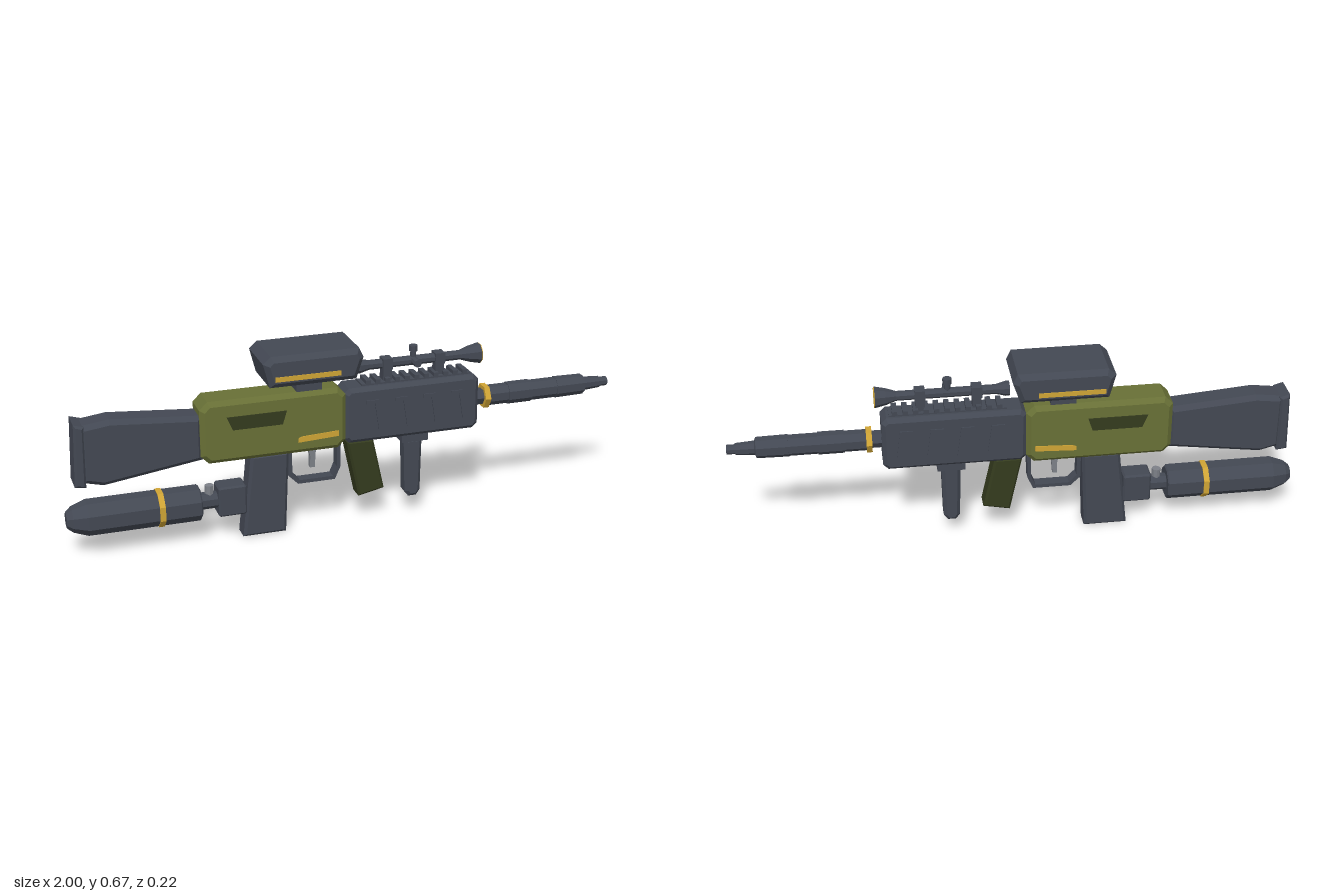
import * as THREE from 'three';

const mat = (name, color) => {
  const m = new THREE.MeshStandardMaterial({ color });
  m.name = name;
  return m;
};

export function createModel() {
  const root = new THREE.Group();
  root.name = 'paintballRifle';
  const gunmetal = mat('gunmetal', 0x434853);
  const olive = mat('olive', 0x687036);
  const darkOlive = mat('darkOlive', 0x343b1e);
  const gold = mat('gold', 0xcfa435);
  const steel = mat('steel', 0x7c8087);

  const add = (name, geo, material, x = 0, y = 0, z = 0) => {
    const flat = geo.index ? geo.toNonIndexed() : geo;
    flat.computeVertexNormals();
    const mesh = new THREE.Mesh(flat, material);
    mesh.name = name;
    mesh.position.set(x, y, z);
    root.add(mesh);
    return mesh;
  };
  const shapeOf = pts => new THREE.Shape(pts.map(p => new THREE.Vector2(...p)));

  // Side profile extruded across z, with chamfered side edges
  const slab = (name, pts, half, bevel, material, z = 0) => {
    const geo = new THREE.ExtrudeGeometry(shapeOf(pts), {
      depth: 2 * (half - bevel), bevelEnabled: bevel > 0, bevelSegments: 1,
      bevelSize: bevel, bevelThickness: bevel, bevelOffset: -bevel,
    });
    geo.translate(0, 0, bevel - half);
    return add(name, geo, material, 0, 0, z);
  };
  const block = (name, x0, x1, y0, y1, half, material, z = 0) =>
    add(name, new THREE.BoxGeometry(x1 - x0, y1 - y0, 2 * half), material, (x0 + x1) / 2, (y0 + y1) / 2, z);

  // Faceted turned part along x, from [x, radius] pairs
  const turned = (name, pts, sides, y, material, flats = false) => {
    const geo = new THREE.LatheGeometry(pts.map(([x, r]) => new THREE.Vector2(r, x)), sides, flats ? Math.PI / sides : 0);
    geo.rotateZ(-Math.PI / 2);
    return add(name, geo, material, 0, y, 0);
  };
  // Rectangular profile with cut corners
  const cutRect = (x0, x1, y0, y1, c) => [
    [x0 + c, y0], [x1 - c, y0], [x1, y0 + c], [x1, y1 - c],
    [x1 - c, y1], [x0 + c, y1], [x0, y1 - c], [x0, y0 + c]];

  // Stock
  slab('stock', [[-0.94, 0.285], [-0.87, 0.267], [-0.53, 0.315], [-0.53, 0.475], [-0.84, 0.5], [-0.94, 0.487]], 0.05, 0.016, gunmetal);
  slab('buttPlate', [[-0.968, 0.275], [-0.93, 0.27], [-0.925, 0.487], [-0.96, 0.497]], 0.052, 0.008, gunmetal);

  // Receiver and handguard
  slab('receiver', cutRect(-0.54, -0.025, 0.302, 0.525, 0.028), 0.063, 0.016, olive);
  slab('handguard', cutRect(-0.028, 0.472, 0.31, 0.512, 0.018), 0.055, 0.014, gunmetal);

  // Side details, mirrored
  for (const s of [1, -1]) {
    slab('receiverSlot', [[-0.43, 0.42], [-0.255, 0.42], [-0.24, 0.468], [-0.45, 0.468]], 0.004, 0, darkOlive, s * 0.062);
    slab('receiverStripe', [[-0.2, 0.345], [-0.055, 0.352], [-0.055, 0.372], [-0.185, 0.366], [-0.2, 0.36]], 0.004, 0, gold, s * 0.062);
    block('hopperStripe', -0.29, -0.06, 0.59, 0.607, 0.004, gold, s * 0.106);
    for (let i = 0; i < 4; i++) {
      const x = 0.05 + i * 0.105;
      slab('handguardRib', [[x + 0.045, 0.355], [x + 0.06, 0.355], [x + 0.045, 0.465], [x, 0.465], [x, 0.452], [x + 0.03, 0.452]], 0.004, 0, gunmetal, s * 0.055);
    }
  }

  // Top rail with teeth
  block('railBase', 0.04, 0.445, 0.508, 0.517, 0.032, gunmetal);
  for (let i = 0; i < 11; i++) {
    const x = 0.055 + i * 0.036;
    block('railTooth', x, x + 0.018, 0.515, 0.53, 0.032, gunmetal);
  }

  // Hopper: profile running along x, chamfered on its long sides
  block('hopperMount', -0.2, -0.11, 0.515, 0.575, 0.048, gunmetal);
  slab('hopper', [[-0.305, 0.565], [0, 0.565], [0.026, 0.64], [0.01, 0.675], [-0.3, 0.675], [-0.327, 0.65]], 0.107, 0.018, gunmetal);

  // Scope
  turned('scopeTube', [[0.027, 0], [0.027, 0.026], [0.04, 0.026], [0.075, 0.017], [0.415, 0.017], [0.45, 0.029], [0.488, 0.037], [0.488, 0]], 8, 0.575, gunmetal, true);
  turned('scopeLens', [[0.488, 0], [0.488, 0.036], [0.491, 0.036], [0.491, 0]], 8, 0.575, gold, true);
  for (const x of [0.14, 0.335]) {
    block('scopeMount', x - 0.016, x + 0.016, 0.515, 0.565, 0.016, gunmetal);
    block('scopeClamp', x - 0.018, x + 0.018, 0.556, 0.596, 0.021, gunmetal);
  }
  add('topKnob', new THREE.CylinderGeometry(0.011, 0.011, 0.05, 8), gunmetal, 0.24, 0.6, 0);
  add('topKnobCap', new THREE.CylinderGeometry(0.016, 0.016, 0.02, 8), gunmetal, 0.24, 0.62, 0);
  add('sideKnob', new THREE.CylinderGeometry(0.014, 0.014, 0.04, 8).rotateX(Math.PI / 2), gunmetal, 0.24, 0.577, 0.03);

  // Barrel
  turned('barrelCollar', [[0.46, 0.03], [0.51, 0.03]], 6, 0.41, gunmetal);
  turned('barrelBand', [[0.505, 0], [0.505, 0.045], [0.525, 0.045], [0.525, 0]], 6, 0.41, gold);
  turned('barrel', [[0.52, 0.037], [0.6, 0.037], [0.6, 0.04], [0.69, 0.04], [0.69, 0.037], [0.79, 0.037],
    [0.79, 0.039], [0.9, 0.037], [0.905, 0.025], [0.97, 0.021], [0.97, 0.017], [1, 0.017], [1, 0]], 8, 0.41, gunmetal, true);

  // Grip, trigger and guard
  slab('grip', [[-0.395, 0.002], [-0.24, 0.002], [-0.226, 0.305], [-0.362, 0.305]], 0.04, 0.01, gunmetal);
  const guard = shapeOf([[-0.225, 0.305], [-0.225, 0.205], [-0.19, 0.17], [-0.055, 0.17], [-0.035, 0.215], [-0.033, 0.305]]);
  guard.holes.push(new THREE.Path([[-0.211, 0.298], [-0.211, 0.211], [-0.184, 0.183], [-0.063, 0.183], [-0.048, 0.218], [-0.046, 0.298]]
    .map(p => new THREE.Vector2(...p))));
  add('triggerGuard', new THREE.ExtrudeGeometry(guard, { depth: 0.04, bevelEnabled: false }), gunmetal, 0, 0, -0.02);
  slab('trigger', [[-0.143, 0.222], [-0.126, 0.222], [-0.12, 0.305], [-0.152, 0.305], [-0.142, 0.265]], 0.01, 0, steel);

  // Magazine
  slab('magazine', [[-0.015, 0.31], [0.03, 0.096], [0.125, 0.116], [0.083, 0.31]], 0.036, 0.008, darkOlive);

  // Foregrip
  block('foregripBase', 0.187, 0.285, 0.284, 0.315, 0.042, gunmetal);
  slab('foregrip', [[0.222, 0.065], [0.252, 0.065], [0.266, 0.085], [0.27, 0.29], [0.202, 0.29], [0.208, 0.085]], 0.031, 0.012, gunmetal);

  // Air bottle and its coupling
  turned('airBottle', [[-1, 0], [-1, 0.028], [-0.98, 0.045], [-0.93, 0.063], [-0.545, 0.063], [-0.54, 0.058], [-0.54, 0]], 8, 0.142, gunmetal, true);
  turned('bottleBand', [[-0.69, 0.06], [-0.69, 0.067], [-0.67, 0.067], [-0.67, 0.06]], 8, 0.142, gold, true);
  turned('bottleNeck', [[-0.545, 0.03], [-0.475, 0.03]], 8, 0.145, gunmetal, true);
  add('valve', new THREE.CylinderGeometry(0.016, 0.016, 0.04, 8), steel, -0.505, 0.182, 0);
  slab('couplingBlock', cutRect(-0.48, -0.38, 0.09, 0.2, 0.006), 0.038, 0.006, gunmetal);

  return root;
}
